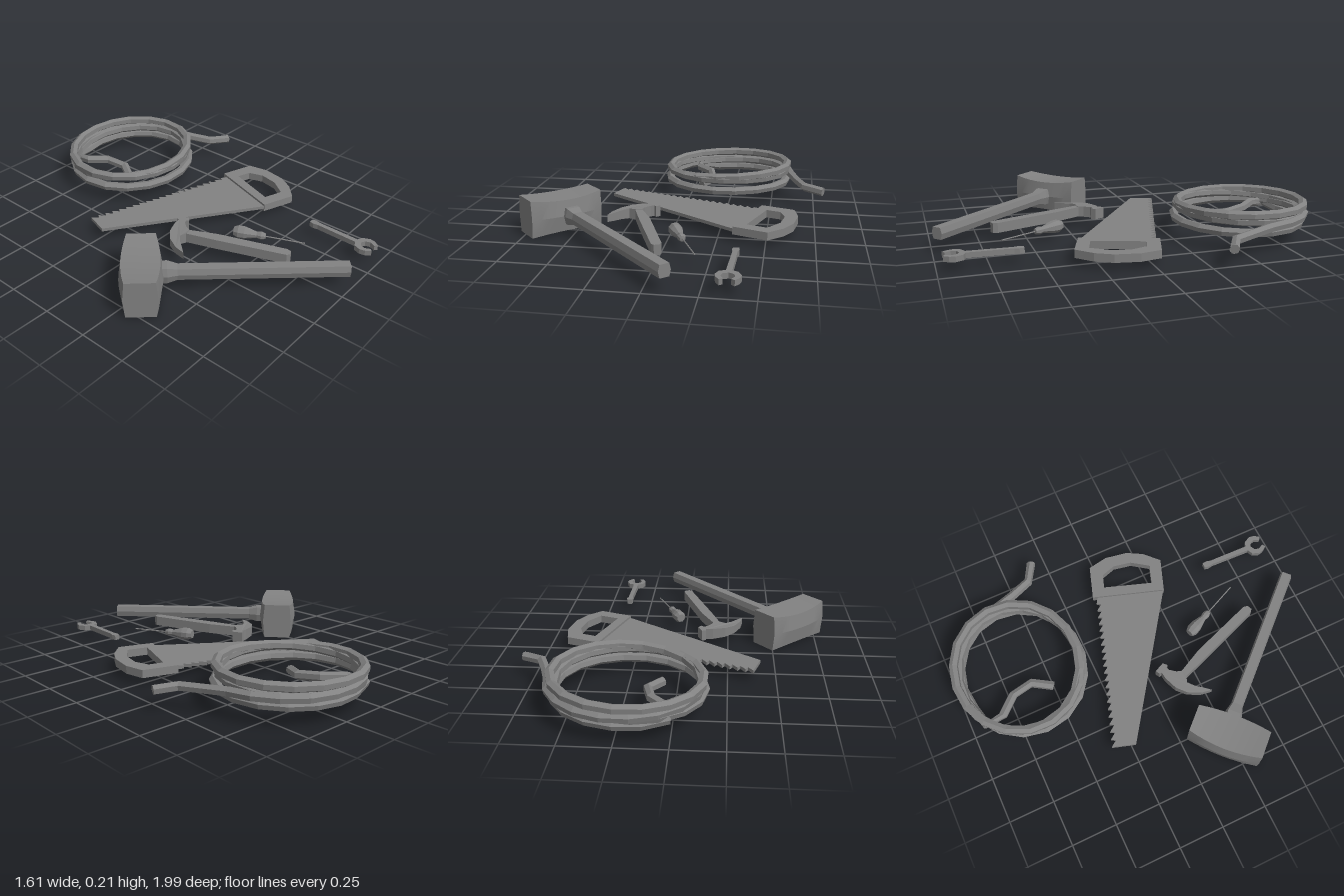
import * as THREE from 'three';
import { toCreasedNormals } from 'three/addons/utils/BufferGeometryUtils.js';

const { lerp, clamp, smoothstep, degToRad } = THREE.MathUtils;
const color = 0x828282;
const faceted = new THREE.MeshStandardMaterial({ color, flatShading: true, side: THREE.DoubleSide });
const smooth = new THREE.MeshStandardMaterial({ color });

function part(name, geometry, material = faceted) {
  const mesh = new THREE.Mesh(geometry, material);
  mesh.name = name;
  return mesh;
}

// Moves each vertex by a rule
function reshape(geometry, rule) {
  const p = geometry.attributes.position, v = new THREE.Vector3();
  for (let i = 0; i < p.count; i++) {
    rule(v.fromBufferAttribute(p, i));
    p.setXYZ(i, v.x, v.y, v.z);
  }
  return geometry;
}

// Flat part lying on the floor: outline in (x, z), between heights y0 and y1
function plate(name, outline, y0, y1, hole) {
  const toShape = ([x, z]) => new THREE.Vector2(x, -z);
  const shape = new THREE.Shape(outline.map(toShape));
  if (hole) shape.holes.push(new THREE.Path(hole.map(toShape)));
  const geometry = new THREE.ExtrudeGeometry(shape, { depth: y1 - y0, bevelEnabled: false });
  geometry.rotateX(-Math.PI / 2).translate(0, y0, 0);
  return part(name, geometry);
}

// Turned part: [radius, distance] profile laid from point a towards point b, a flat side up
function turned(name, profile, a, b, sides) {
  const geometry = new THREE.LatheGeometry(profile.map(p => new THREE.Vector2(...p)), sides);
  geometry.rotateY(Math.PI / sides).rotateX(Math.PI / 2);
  const mesh = part(name, geometry);
  mesh.position.set(...a);
  mesh.lookAt(...b);
  return mesh;
}

function group(name, ...parts) {
  const g = new THREE.Group();
  g.name = name;
  return g.add(...parts);
}

function makeMallet() {
  // Head dips on top and bottom, swells at the sides, and has slightly pointed sides
  const block = reshape(new THREE.BoxGeometry(0.4, 0.2, 0.168, 8, 2, 1), v => {
    const middle = 1 - (v.x / 0.2) ** 2;
    if (v.y !== 0) v.z *= 0.88;
    v.y *= 1 - 0.17 * middle;
    v.z *= 1 + 0.3 * middle;
  });
  const head = part('malletHead', toCreasedNormals(block, 0.25), smooth);
  head.position.set(-0.595, 0.1, 0.23);
  head.rotation.y = 0.75;
  // Six-sided handle with broad flat top and bottom
  const handle = turned('malletHandle',
    [[0, 0], [0.046, 0], [0.046, 0.06], [0.033, 0.11], [0.033, 0.95], [0, 0.95]],
    [-0.54, 0.1, 0.27], [0.1, 0.1, 0.97], 6);
  reshape(handle.geometry, v => {
    if (Math.abs(v.y) > 0.001) v.x *= 1.5;
    v.y *= 1.1;
  });
  return group('mallet', head, handle);
}

function makeHammer() {
  const head = plate('hammerHead', [
    [-0.33, 0.27], [-0.32, 0.21], [-0.285, 0.14], [-0.235, 0.095], [-0.165, 0.068], [-0.125, 0.063],
    [-0.127, 0.05], [-0.105, 0.038], [-0.08, 0.092], [-0.1, 0.112], [-0.112, 0.1], [-0.13, 0.108],
    [-0.155, 0.14], [-0.165, 0.17], [-0.2, 0.178], [-0.235, 0.165], [-0.27, 0.195], [-0.3, 0.235],
  ], 0.05, 0.11);
  // Thin the claw towards its tip
  reshape(head.geometry, v => {
    v.y = lerp(v.y, 0.08, 0.35 * clamp((-0.2 - v.x) / 0.13, 0, 1));
  });
  const handle = plate('hammerHandle', [
    [-0.205, 0.165], [-0.165, 0.165], [-0.095, 0.305], [0.03, 0.655], [0.025, 0.68], [0, 0.69],
    [-0.015, 0.68], [-0.145, 0.335],
  ], 0.053, 0.107);
  return group('hammer', head, handle);
}

function makeSaw() {
  // Toothed edge runs from the toe to the handle
  const teeth = 20, a = [-0.38, -0.355], b = [0.42, -0.085];
  const along = t => [lerp(a[0], b[0], t), lerp(a[1], b[1], t)];
  const outline = [[-0.42, -0.23]];
  for (let i = 0; i < teeth; i++) {
    outline.push(along(i / teeth));
    const [x, z] = along((i + 0.85) / teeth);
    outline.push([x - 0.008, z + 0.025]);
  }
  outline.push(b, [0.46, -0.06], [0.35, 0.3], [0.33, 0.295]);
  const blade = plate('sawBlade', outline, 0.052, 0.07);
  const handle = plate('sawHandle', [
    [0.46, -0.09], [0.64, -0.03], [0.66, 0.08], [0.638, 0.205], [0.59, 0.29], [0.51, 0.365], [0.33, 0.3],
  ], 0.04, 0.082, [
    [0.49, -0.005], [0.565, 0.02], [0.59, 0.1], [0.57, 0.2], [0.505, 0.29], [0.4, 0.255],
  ]);
  return group('saw', blade, handle);
}

function makeScrewdriver() {
  const a = [0.03, 0.068, 0.315], b = [0.187, 0.06, 0.66];
  return group('screwdriver',
    turned('screwdriverHandle', [[0, 0], [0.024, 0], [0.035, 0.025], [0.034, 0.06], [0.017, 0.125],
      [0.022, 0.15], [0.015, 0.172], [0, 0.175]], a, b, 8),
    turned('screwdriverShaft', [[0, 0.17], [0.0035, 0.17], [0.0035, 0.38], [0, 0.38]], a, b, 6));
}

function makeWrench() {
  // Open jaw faces +z, slim shank towards -z
  return plate('wrench', [
    [0.36, 0.58], [0.388, 0.58], [0.392, 0.605], [0.385, 0.63], [0.38, 0.86], [0.408, 0.872],
    [0.426, 0.91], [0.42, 0.94], [0.4, 0.967], [0.384, 0.955], [0.398, 0.925], [0.39, 0.9],
    [0.367, 0.888], [0.342, 0.9], [0.334, 0.925], [0.348, 0.955], [0.332, 0.967], [0.314, 0.94],
    [0.308, 0.91], [0.322, 0.875], [0.352, 0.86], [0.36, 0.63], [0.355, 0.605],
  ], 0.047, 0.075);
}

function makeRope() {
  // Inner tail, joining the bottom of the coil
  const points = [[0.07, 0.07, -0.5], [0.12, 0.08, -0.57], [0.135, 0.095, -0.67], [0.07, 0.103, -0.76],
    [-0.02, 0.103, -0.87], [0.01, 0.1, -0.91]];
  // Coil climbs to its top, then sinks along the outside to the loose end
  for (let degrees = -110; degrees <= 1060; degrees += 30) {
    const angle = degToRad(degrees);
    const y = 0.087 + 0.092 * smoothstep(degrees, -60, 680) - 0.052 * smoothstep(degrees, 740, 1060);
    const r = 1 + 0.03 * Math.sin(angle * 0.72) + 0.03 * smoothstep(degrees, 840, 940);
    points.push([0.225 + 0.36 * r * Math.cos(angle), y + 0.01 * Math.cos(angle),
      -0.63 + 0.335 * r * Math.sin(angle)]);
  }
  // Outer tail
  points.push([0.61, 0.13, -0.62], [0.65, 0.12, -0.5], [0.71, 0.112, -0.37], [0.8, 0.105, -0.33]);
  const curve = new THREE.CatmullRomCurve3(points.map(p => new THREE.Vector3(...p)), false, 'centripetal');
  const rope = group('rope', part('ropeCoil', new THREE.TubeGeometry(curve, 66, 0.025, 6)));
  for (const t of [0, 1]) {
    const cap = part('ropeEnd', new THREE.CircleGeometry(0.025, 6));
    const end = curve.getPointAt(t), out = curve.getTangentAt(t).multiplyScalar(t ? 1 : -1);
    cap.position.copy(end);
    cap.lookAt(end.clone().add(out));
    rope.add(cap);
  }
  return rope;
}

export function createModel() {
  return group('toolSet', makeMallet(), makeHammer(), makeSaw(), makeScrewdriver(), makeWrench(), makeRope());
}
